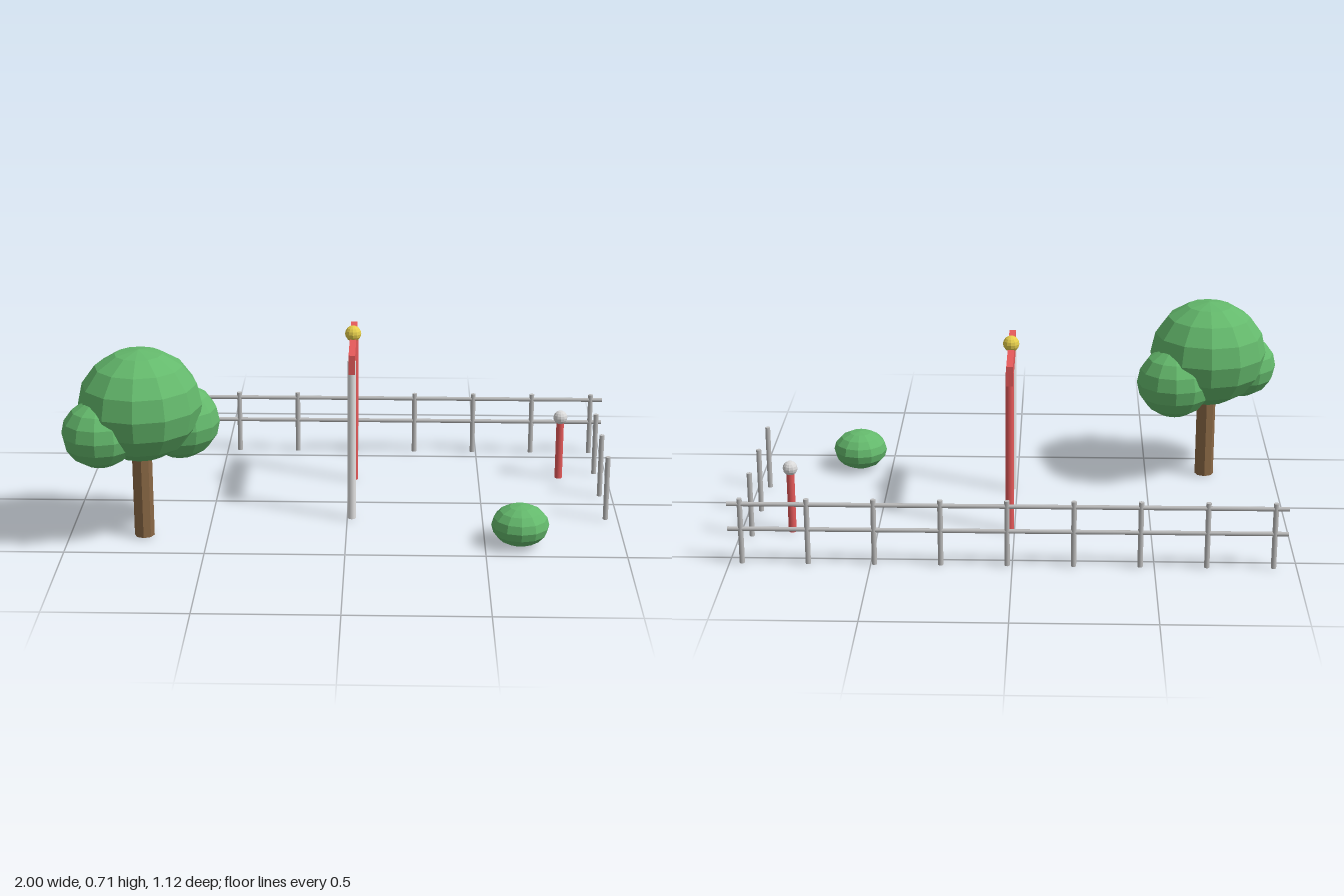
import * as THREE from 'three';

const mat = (name, color, flatShading = false) => {
  const m = new THREE.MeshStandardMaterial({ color, flatShading });
  m.name = name;
  return m;
};

export function createModel() {
  const leaf = mat('leaf green', 0x64b96c, true);
  const bark = mat('bark brown', 0x8a6845, true);
  const red = mat('gate red', 0xe65a5a);
  const white = mat('off white', 0xe4e4e4);
  const steel = mat('fence grey', 0xbcbcbc);
  const gold = mat('gold', 0xe6cf4c, true);
  const silver = mat('ball silver', 0xdadada, true);

  const BASE = 0.004; // ground contact height of the posts
  const root = new THREE.Group();
  root.name = 'gardenGate';

  const group = (name) => {
    const g = new THREE.Group();
    g.name = name;
    root.add(g);
    return g;
  };
  const add = (parent, name, geometry, material, x, y, z) => {
    const mesh = new THREE.Mesh(geometry, material);
    mesh.name = name;
    mesh.position.set(x, y, z);
    parent.add(mesh);
    return mesh;
  };
  // Upright cylinder from the base level to a given top
  const post = (parent, name, material, r, top, x, z, sides = 12) =>
    add(parent, name, new THREE.CylinderGeometry(r, r, top - BASE, sides), material, x, (top + BASE) / 2, z);
  // Faceted, slightly flattened ball of leaves
  const foliage = (parent, name, r, ry, x, y, z) =>
    add(parent, name, new THREE.SphereGeometry(r, 12, 8), leaf, x, y, z).scale.set(1, ry / r, 1);

  // Tree
  const tree = group('tree');
  post(tree, 'trunk', bark, 0.036, 0.4, -0.73, 0.34, 8);
  foliage(tree, 'mainCrown', 0.221, 0.202, -0.73, 0.505, 0.34);
  foliage(tree, 'leftCrown', 0.144, 0.135, -0.6, 0.413, 0.252);
  foliage(tree, 'rightCrown', 0.135, 0.122, -0.865, 0.425, 0.427);

  // Bush
  foliage(group('bush'), 'bushLeaves', 0.104, 0.075, 0.625, 0.075, 0.385);

  // Gate: one pale post, one red post, a crossbeam and a ball on top
  const gate = group('gate');
  post(gate, 'palePost', white, 0.0155, 0.614, 0.017, 0.164);
  post(gate, 'redPost', red, 0.0155, 0.614, 0.017, -0.235);
  add(gate, 'crossbeam', new THREE.BoxGeometry(0.024, 0.073, 0.43), red, 0.017, 0.602, -0.035);
  add(gate, 'gateBall', new THREE.SphereGeometry(0.03, 12, 8), gold, 0.017, 0.656, -0.036);

  // Bollard
  const bollard = group('bollard');
  post(bollard, 'bollardPost', red, 0.0145, 0.24, 0.812, -0.269);
  add(bollard, 'bollardBall', new THREE.SphereGeometry(0.027, 12, 8), silver, 0.812, 0.252, -0.269);

  // Back fence: nine posts and two rails
  const fence = group('backFence');
  for (let i = 0; i < 9; i++) {
    post(fence, 'fencePost', steel, 0.0095, 0.249, -0.918 + i * 0.234, -0.55);
  }
  for (const y of [0.134, 0.228]) {
    const rail = add(fence, 'fenceRail', new THREE.CylinderGeometry(0.008, 0.008, 1.965, 12), steel, 0.0175, y, -0.55);
    rail.rotation.z = Math.PI / 2;
  }

  // Free-standing posts along the left side
  const side = group('sidePosts');
  for (const z of [0.153, -0.081, -0.315]) {
    post(side, 'sidePost', steel, 0.0095, 0.249, 0.954, z);
  }

  return root;
}
